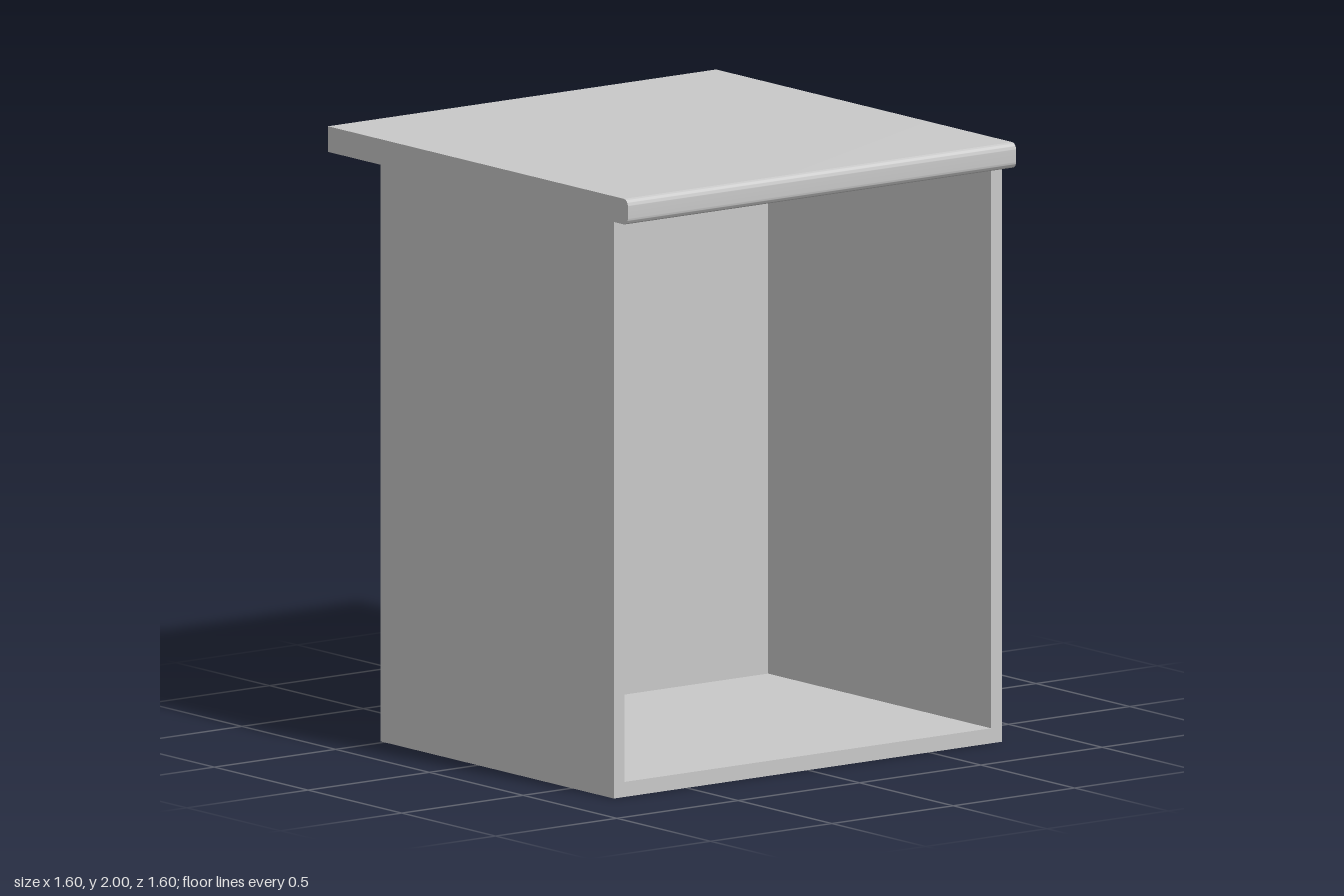
import * as THREE from 'three';
import { toCreasedNormals } from 'three/addons/utils/BufferGeometryUtils.js';

export function createModel() {
  const model = new THREE.Group();
  const grey = new THREE.MeshStandardMaterial({ color: 0xc8c8c8 });
  grey.name = 'light grey';

  // Box given by its minimum and maximum corners
  const panel = (name, [x0, y0, z0], [x1, y1, z1]) => {
    const mesh = new THREE.Mesh(new THREE.BoxGeometry(x1 - x0, y1 - y0, z1 - z0), grey);
    mesh.position.set((x0 + x1) / 2, (y0 + y1) / 2, (z0 + z1) / 2);
    mesh.name = name;
    model.add(mesh);
  };

  const half = 0.8, thick = 0.045, under = 1.915; // half width, board, underside of top
  const open = 0.725, rear = -0.52; // open end and rear end of the cabinet
  const inner = half - thick;

  // Side panels
  panel('leftSidePanel', [rear, 0, inner], [open, under, half]);
  panel('rightSidePanel', [rear, 0, -half], [open, under, -inner]);

  // Floor, set in slightly at the rear, and recessed back panel
  panel('floorPanel', [rear + 0.015, 0, -inner], [open, 0.05, inner]);
  panel('backPanel', [rear + 0.035, 0.05, -inner], [rear + 0.055, under, inner]);

  // Worktop with one rounded long edge
  const r = 0.022;
  const profile = new THREE.Shape();
  profile.moveTo(-half, under);
  profile.lineTo(half - r, under);
  profile.absarc(half - r, under + r, r, -Math.PI / 2, 0);
  profile.lineTo(half, 2 - r);
  profile.absarc(half - r, 2 - r, r, 0, Math.PI / 2);
  profile.lineTo(-half, 2);
  profile.closePath();
  const slab = new THREE.ExtrudeGeometry(profile, { depth: 2 * half, bevelEnabled: false, curveSegments: 8 });
  slab.translate(0, 0, -half);
  const worktop = new THREE.Mesh(toCreasedNormals(slab, Math.PI / 6), grey);
  worktop.name = 'worktop';
  model.add(worktop);

  return model;
}
